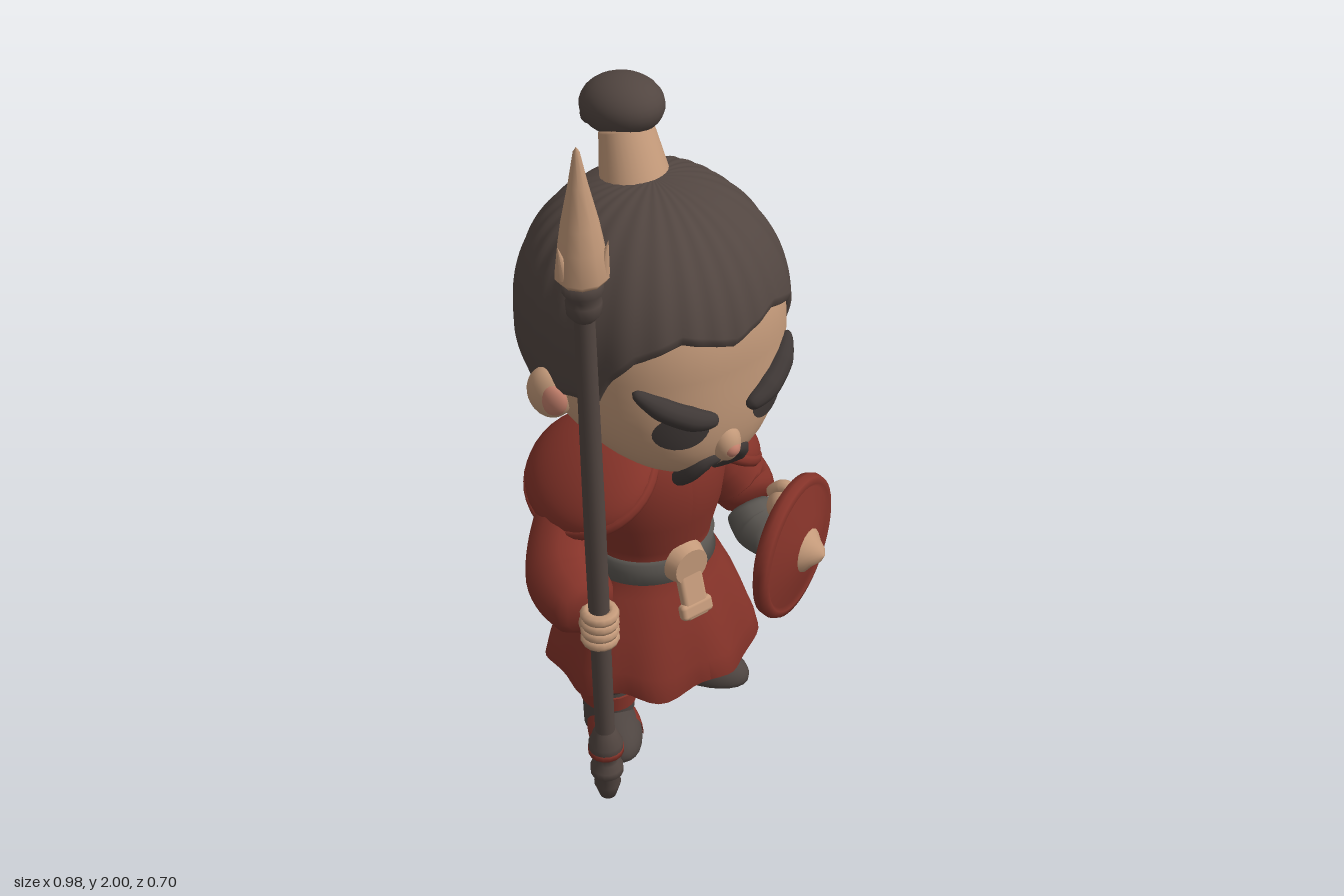
import * as THREE from 'three';
import { mergeVertices } from 'three/addons/utils/BufferGeometryUtils.js';
import { ParametricGeometry } from 'three/addons/geometries/ParametricGeometry.js';
import { RoundedBoxGeometry } from 'three/addons/geometries/RoundedBoxGeometry.js';

const paint = (name, color) => {
  const m = new THREE.MeshStandardMaterial({ color });
  m.name = name;
  return m;
};
const V = (x, y, z) => new THREE.Vector3(x, y, z);
const CX = -0.05, CY = 1.3, N = 2.3; // head centre and squareness

export function createModel() {
  const model = new THREE.Group();
  const red = paint('red cloth', 0x853329), skin = paint('skin and bone', 0xc49a7a);
  const hair = paint('dark brown hair', 0x524641), brow = paint('dark brow', 0x3f3836);
  const grey = paint('grey leather', 0x5b5752), boot = paint('boot brown', 0x4e4541);
  const pink = paint('pink flush', 0xc4806c);
  red.side = THREE.DoubleSide;

  function add(name, geo, mat, pos = [0, 0, 0], rot = [0, 0, 0], scale = [1, 1, 1], parent = model) {
    const m = new THREE.Mesh(geo, mat);
    m.name = name;
    m.position.set(...pos);
    m.rotation.set(...rot);
    m.scale.set(...scale);
    parent.add(m);
    return m;
  }
  const ball = (name, mat, pos, size, rot, parent) =>
    add(name, new THREE.SphereGeometry(1, 24, 16), mat, pos, rot, size, parent);
  const lathe = (pts, seg = 32) =>
    new THREE.LatheGeometry(pts.map(p => new THREE.Vector2(...p)), seg);

  // Round-ended tube whose radius follows a list
  function limb(name, mat, pts, radii, parent = model) {
    const curve = new THREE.CatmullRomCurve3(pts.map(p => V(...p)));
    const n = 32, k = 12;
    let g = new THREE.TubeGeometry(curve, n, 1, k);
    const p = g.attributes.position, v = V(0, 0, 0);
    for (let i = 0; i <= n; i++) {
      const t = i / n, c = curve.getPointAt(t), f = t * (radii.length - 1);
      const a = Math.min(Math.floor(f), radii.length - 2);
      const r = THREE.MathUtils.lerp(radii[a], radii[a + 1], f - a)
        * Math.sqrt(Math.max(0, 1 - Math.pow(Math.abs(2 * t - 1), 10)));
      for (let j = 0; j <= k; j++) {
        const q = i * (k + 1) + j;
        v.fromBufferAttribute(p, q).sub(c).multiplyScalar(r).add(c);
        p.setXYZ(q, v.x, v.y, v.z);
      }
    }
    g.deleteAttribute('uv');
    g.deleteAttribute('normal');
    g = mergeVertices(g, 1e-5);
    g.computeVertexNormals();
    return add(name, g, mat, undefined, undefined, undefined, parent);
  }

  // Head: rounded-square ellipsoid, pushed forward to the chin, back at the crown, narrowed to the nape
  function headPoint(az, el, size, out) {
    const x = Math.sin(az) * Math.cos(el), y = Math.sin(el), z = Math.cos(az) * Math.cos(el);
    const r = size / Math.pow(Math.abs(x / 0.325) ** N + Math.abs(y / 0.365) ** N + Math.abs(z / 0.335) ** N, 1 / N);
    const h = y * r / 0.365, t = Math.min(0, h), crown = Math.max(0, h);
    const back = z < 0 ? 1 - 0.3 * t * t : 1;
    out.set(CX + x * r * (1 - 0.12 * t * t) + 0.02 * crown * crown, CY + y * r, z * r * back + 0.12 * t * t - 0.025 * crown * crown);
  }
  const faceZ = (x, y) => {
    const t = (y - CY) / 0.365, s = 0.97;
    const k = s ** N - Math.abs((x - CX) / 0.325) ** N - Math.abs(t) ** N;
    return 0.335 * Math.max(0, k) ** (1 / N) + 0.12 * Math.min(0, t) ** 2;
  };
  add('head', new ParametricGeometry((u, v, out) =>
    headPoint(u * 2 * Math.PI, (v - 0.5) * 3.1, 0.97, out), 48, 32), skin);

  // Hair cap with a widow's peak hairline and combed grooves
  const line = [[0, 11], [10, 14], [25, 18], [45, 10], [55, 0], [61, -12], [80, -17], [100, -25], [115, -42], [140, -47], [180, -49]];
  const hairline = a => {
    const i = Math.max(1, line.findIndex(p => p[0] >= a - 1e-6));
    const [a0, e0] = line[i - 1], [a1, e1] = line[i];
    return THREE.MathUtils.degToRad(THREE.MathUtils.lerp(e0, e1, (a - a0) / (a1 - a0)));
  };
  add('hair', new ParametricGeometry((u, v, out) => {
    const az = u * 2 * Math.PI;
    const deg = Math.min(180, Math.abs(THREE.MathUtils.radToDeg(Math.atan2(Math.sin(az), Math.cos(az)))));
    const el = THREE.MathUtils.lerp(hairline(deg), 1.5705, v);
    const edge = Math.min(1, v / 0.06);
    const groove = 0.007 * Math.sin(26 * az + 2 * Math.sin(3 * az)) * Math.cos(el);
    headPoint(az, el, 0.95 + (0.063 + groove) * Math.sqrt(edge), out);
  }, 160, 48), hair);

  // Topknot
  const band = add('topknotBand', lathe([[0.092, 0], [0.088, 0.03], [0.07, 0.14], [0.066, 0.15], [0, 0.15]]), skin, [-0.035, 1.625, -0.085], [-0.36, 0, -0.06]);
  band.scale.z = 0.95;
  ball('topknot', hair, [-0.012, 1.803, -0.17], [0.1, 0.077, 0.118], [-0.15, 0, 0]);
  limb('topknotTail', hair, [[-0.01, 1.795, -0.2], [-0.01, 1.775, -0.255], [-0.01, 1.73, -0.295], [-0.005, 1.695, -0.325]], [0.07, 0.05, 0.032, 0.024]);

  // Face
  for (const s of [-1, 1]) {
    const X = d => CX - 0.008 + s * d;
    add('eye', new ParametricGeometry((u, v, out) => {
      const a = u * 2 * Math.PI, r = 1 - v;
      const x = X(0.132) + 0.066 * r * Math.cos(a), y = 1.165 + 0.055 * r * Math.sin(a);
      out.set(x, y, faceZ(x, y) + 0.005);
    }, 24, 6), brow);
    limb('eyebrow', brow, [[0.045, 1.18], [0.11, 1.203], [0.18, 1.243], [0.235, 1.29]]
      .map(([d, y]) => [X(d), y, faceZ(X(d), y) + 0.008]), [0.02, 0.032, 0.03, 0.014]);
    limb('moustache', brow, [[X(0.005), 1.035, 0.295], [X(0.045), 1.04, 0.288], [X(0.075), 1.0, 0.26], [X(0.072), 0.95, 0.215], [X(0.05), 0.915, 0.185]],
      [0.018, 0.027, 0.028, 0.022, 0.012]);
    const ear = ball('ear', skin, [CX + s * 0.313, 1.19, -0.005], [0.048, 0.076, 0.06], [0, s * -0.55, s * -0.15]);
    ball('innerEar', pink, [s * 0.5, 0.02, 0.25], [0.55, 0.68, 0.66], [0, 0, 0], ear);
  }
  ball('nose', skin, [-0.058, 1.085, 0.3], [0.04, 0.055, 0.044], [-0.25, 0, 0]);
  ball('noseTip', pink, [-0.058, 1.075, 0.323], [0.025, 0.025, 0.027]);

  // Tunic with a pleated, scalloped skirt
  const tunic = lathe([[0, 0.28], [0.2, 0.26], [0.285, 0.225], [0.298, 0.235], [0.285, 0.3], [0.25, 0.4], [0.2, 0.5], [0.16, 0.57],
    [0.17, 0.63], [0.195, 0.72], [0.205, 0.8], [0.195, 0.88], [0.16, 0.94], [0.11, 0.98], [0, 0.99]], 72);
  const tp = tunic.attributes.position;
  for (let i = 0; i < tp.count; i++) {
    const x = tp.getX(i), y = tp.getY(i), z = tp.getZ(i), a = Math.atan2(x, z);
    const k = Math.max(0, (0.55 - y) / 0.33), f = 1 + 0.035 * k * Math.sin(9 * a);
    tp.setXYZ(i, x * f, y + 0.014 * k * k * Math.cos(7 * a), z * f);
  }
  tunic.computeVertexNormals();
  add('tunic', tunic, red, [-0.04, 0, -0.025], [0, 0, 0], [1, 1, 0.88]);
  add('collar', lathe([[0.15, -0.12], [0.142, -0.04], [0.14, 0.04], [0.146, 0.07], [0.135, 0.075], [0.12, 0]]), red,
    [-0.045, 0.985, -0.05], [0.2, 0, 0]);
  add('belt', lathe([[0.16, 0.535], [0.181, 0.54], [0.173, 0.57], [0.177, 0.6], [0.16, 0.605]], 48), grey, [-0.042, 0, -0.025], [0, 0, 0], [1, 1, 0.9]);
  add('buckle', new THREE.CylinderGeometry(0.052, 0.064, 0.035, 24), skin, [-0.045, 0.585, 0.14], [Math.PI / 2, 0, 0]);
  add('buckleTab', new RoundedBoxGeometry(0.075, 0.14, 0.03, 3, 0.012), skin, [-0.045, 0.5, 0.16], [-0.3, 0, 0]);
  add('buckleFoot', new RoundedBoxGeometry(0.1, 0.045, 0.03, 3, 0.012), skin, [-0.045, 0.46, 0.175], [-0.3, 0, 0]);

  // Shoulder flaps
  for (const s of [-1, 1]) {
    const flap = new THREE.Group();
    flap.name = 'shoulderFlap';
    flap.position.set(-0.045 + s * 0.17, 0.85, -0.05);
    flap.rotation.z = -s * 0.6;
    model.add(flap);
    add('flapDome', new THREE.SphereGeometry(1, 32, 12, 0, 2 * Math.PI, 0, Math.PI / 2), red, [0, 0, 0], [0, 0, 0], [0.18, 0.09, 0.2], flap);
    add('flapRim', new THREE.TorusGeometry(1, 0.075, 8, 40), red, [0, 0, 0], [Math.PI / 2, 0, 0], [0.175, 0.192, 0.24], flap);
  }

  // Arms and hands
  limb('leftSleeve', red, [[0.1, 0.85, -0.05], [0.165, 0.76, -0.07], [0.23, 0.67, -0.08], [0.29, 0.585, -0.055], [0.285, 0.545, 0.005]], [0.07, 0.082, 0.092, 0.092, 0.085]);
  limb('leftBracer', grey, [[0.28, 0.545, -0.01], [0.275, 0.505, 0.045], [0.275, 0.495, 0.125]], [0.068, 0.073, 0.062]);
  ball('leftHand', skin, [0.32, 0.58, 0.1], [0.05, 0.055, 0.05]);
  limb('leftThumb', skin, [[0.305, 0.6, 0.05], [0.325, 0.635, 0.09], [0.335, 0.63, 0.13]], [0.02, 0.022, 0.018]);
  limb('rightSleeve', red, [[-0.2, 0.84, -0.06], [-0.285, 0.735, -0.045], [-0.37, 0.645, 0.05], [-0.392, 0.615, 0.19]], [0.075, 0.096, 0.105, 0.092]);
  ball('rightHand', skin, [-0.385, 0.605, 0.195], [0.043, 0.055, 0.048]);
  for (let i = 0; i < 4; i++)
    add('rightFinger', new THREE.TorusGeometry(0.035, 0.016, 8, 16), skin, [-0.389, 0.567 + i * 0.026, 0.22], [Math.PI / 2, 0, 0]);

  // Shield
  const shield = new THREE.Group();
  shield.name = 'shield';
  shield.position.set(0.307, 0.492, 0.175);
  shield.rotation.y = 0.41;
  model.add(shield);
  const face = [Math.PI / 2, 0, 0];
  add('shieldPlate', lathe([[0, -0.025], [0.18, -0.045], [0.2, -0.035], [0.206, -0.015], [0.2, 0.002], [0.182, 0.006], [0.172, -0.002], [0.1, 0.024], [0, 0.037]], 48), red, [0, 0, 0], face, [1, 1, 1], shield);
  add('shieldBoss', lathe([[0.066, 0.015], [0.062, 0.032], [0.04, 0.05], [0.022, 0.07], [0, 0.08]], 16), skin, [0, 0, 0], face, [1, 1, 1], shield);

  // Legs, banded socks and boots
  const flatBottom = geo => {
    const p = geo.attributes.position;
    for (let i = 0; i < p.count; i++) p.setY(i, Math.max(-0.25, p.getY(i)));
    geo.computeVertexNormals();
    return geo;
  };
  for (const [s, x, z, turn] of [[-1, -0.19, -0.01, -0.45], [1, 0.125, -0.06, 0.55]]) {
    const leg = new THREE.Group();
    leg.name = s > 0 ? 'leftLeg' : 'rightLeg';
    leg.position.set(x, 0, z);
    model.add(leg);
    limb('trouser', boot, [[-s * 0.03, 0.36, 0], [-s * 0.015, 0.25, 0], [0, 0.16, -0.01], [0, 0.135, -0.01]], [0.1, 0.118, 0.1, 0.07], leg);
    add('bootShaft', new THREE.CylinderGeometry(0.072, 0.066, 0.16, 24), boot, [0, 0.08, -0.015], [0, 0, 0], [1, 1, 1.1], leg);
    add('sockBand', new THREE.CylinderGeometry(0.077, 0.075, 0.045, 24), red, [0, 0.122, -0.015], [0, 0, 0], [1, 1, 1.1], leg);
    const footPos = [s * 0.022, 0.02, 0.045], footSize = [0.072, 0.068, 0.125];
    add('bootFoot', flatBottom(new THREE.SphereGeometry(1, 24, 16)), boot, footPos, [0, turn, 0], footSize, leg);
    if (s < 0) // red trim round the heel and sides of the right boot
      add('bootTrim', flatBottom(new THREE.SphereGeometry(1.04, 24, 8, Math.PI - 0.2, Math.PI + 0.4, 0.85, 0.9)), red, footPos, [0, turn, 0], footSize, leg);
  }

  // Spear
  const spear = new THREE.Group();
  spear.name = 'spear';
  spear.position.set(-0.373, 0, 0.22);
  spear.rotation.z = 0.027;
  model.add(spear);
  const part = (name, pts, mat, seg) => add(name, lathe(pts, seg), mat, [0, 0, 0], [0, 0, 0], [1, 1, 1], spear);
  part('shaft', [[0.026, 0.15], [0.028, 0.9], [0.025, 1.62]], hair, 16);
  part('buttCap', [[0, 0.01], [0.022, 0.015], [0.036, 0.06], [0.03, 0.085], [0.044, 0.1], [0.044, 0.12], [0.03, 0.135], [0.03, 0.16], [0.046, 0.175], [0.046, 0.205], [0.03, 0.24], [0.025, 0.25]], hair, 16);
  part('buttRing', [[0.03, 0.158], [0.047, 0.171], [0.048, 0.187], [0.04, 0.188]], red, 16);
  part('neckRing', [[0.025, 1.54], [0.042, 1.56], [0.044, 1.59], [0.036, 1.6], [0.05, 1.62], [0.048, 1.655], [0, 1.66]], hair, 16);
  part('spearhead', [[0, 1.645], [0.055, 1.65], [0.066, 1.665], [0.056, 1.74], [0.046, 1.8], [0.024, 1.9], [0.008, 1.985], [0, 1.998]], skin, 10);
  for (const a of [0.9, 3.1, 5.2])
    add('barb', new THREE.ConeGeometry(0.018, 0.09, 8), skin, [0.057 * Math.cos(a), 1.72, 0.057 * Math.sin(a)], [0.2 * Math.sin(a), 0, -0.2 * Math.cos(a)], [1, 1, 1], spear);

  return model;
}
